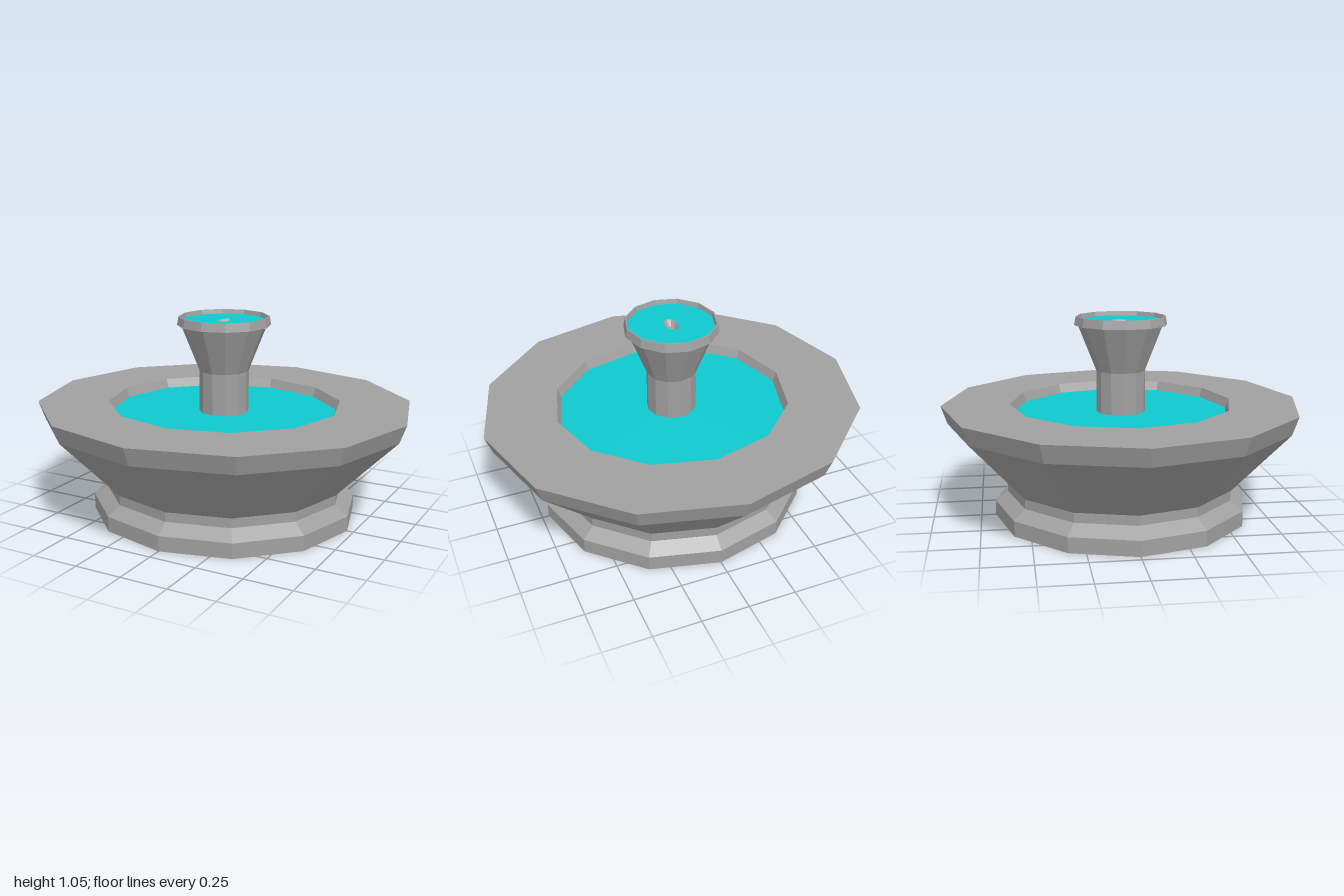
import * as THREE from 'three';

const SIDES = 12;
const DEPTH = 0.943; // basin is slightly narrower front to back

export function createModel() {
  const group = new THREE.Group();
  group.name = 'fountain';
  const stone = new THREE.MeshStandardMaterial({ color: 0xa0a0a0 });
  stone.name = 'stone';
  stone.flatShading = true;
  const water = new THREE.MeshStandardMaterial({ color: 0x0fc8ce });
  water.name = 'water';

  const add = (name, geometry, material) => {
    const mesh = new THREE.Mesh(geometry, material);
    mesh.name = name;
    group.add(mesh);
    return mesh;
  };
  const turned = (name, profile) => add(name,
    new THREE.LatheGeometry(profile.map(([r, y]) => new THREE.Vector2(r, y)), SIDES), stone);

  // Foot, neck, flared basin and its sunken inner wall
  turned('basin', [
    [0, 0], [0.715, 0], [0.715, 0.08], [0.645, 0.13], [0.645, 0.18],
    [0.965, 0.505], [1, 0.6], [0.623, 0.6], [0.603, 0.55],
  ]).scale.z = DEPTH;

  // Water in the lower basin
  const pool = add('lowerWater', new THREE.CircleGeometry(0.604, SIDES).rotateX(-Math.PI / 2), water);
  pool.position.y = 0.551;
  pool.scale.z = DEPTH;

  // Column widening into the upper bowl, with an overhanging lip
  turned('column', [
    [0.13, 0.54], [0.13, 0.77], [0.225, 1.01], [0.245, 1.01],
    [0.236, 1.055], [0.23, 1.055], [0.224, 1.03],
  ]);

  // Upper water with an oval opening for the spout
  const oval = new THREE.Shape();
  const ring = (rx, rz) => Array.from({ length: SIDES }, (_, i) => {
    const a = (i / SIDES) * Math.PI * 2;
    return new THREE.Vector2(Math.cos(a) * rx, Math.sin(a) * rz);
  });
  oval.setFromPoints(ring(0.226, 0.226));
  oval.holes.push(new THREE.Path(ring(0.037, 0.055)));
  add('upperWater', new THREE.ShapeGeometry(oval).rotateX(-Math.PI / 2), water).position.y = 1.032;

  // Spout: a small tapered recess
  turned('spout', [[1, 1.032], [0.55, 1.005], [0, 1.005]]).scale.set(0.037, 1, 0.055);

  return group;
}
